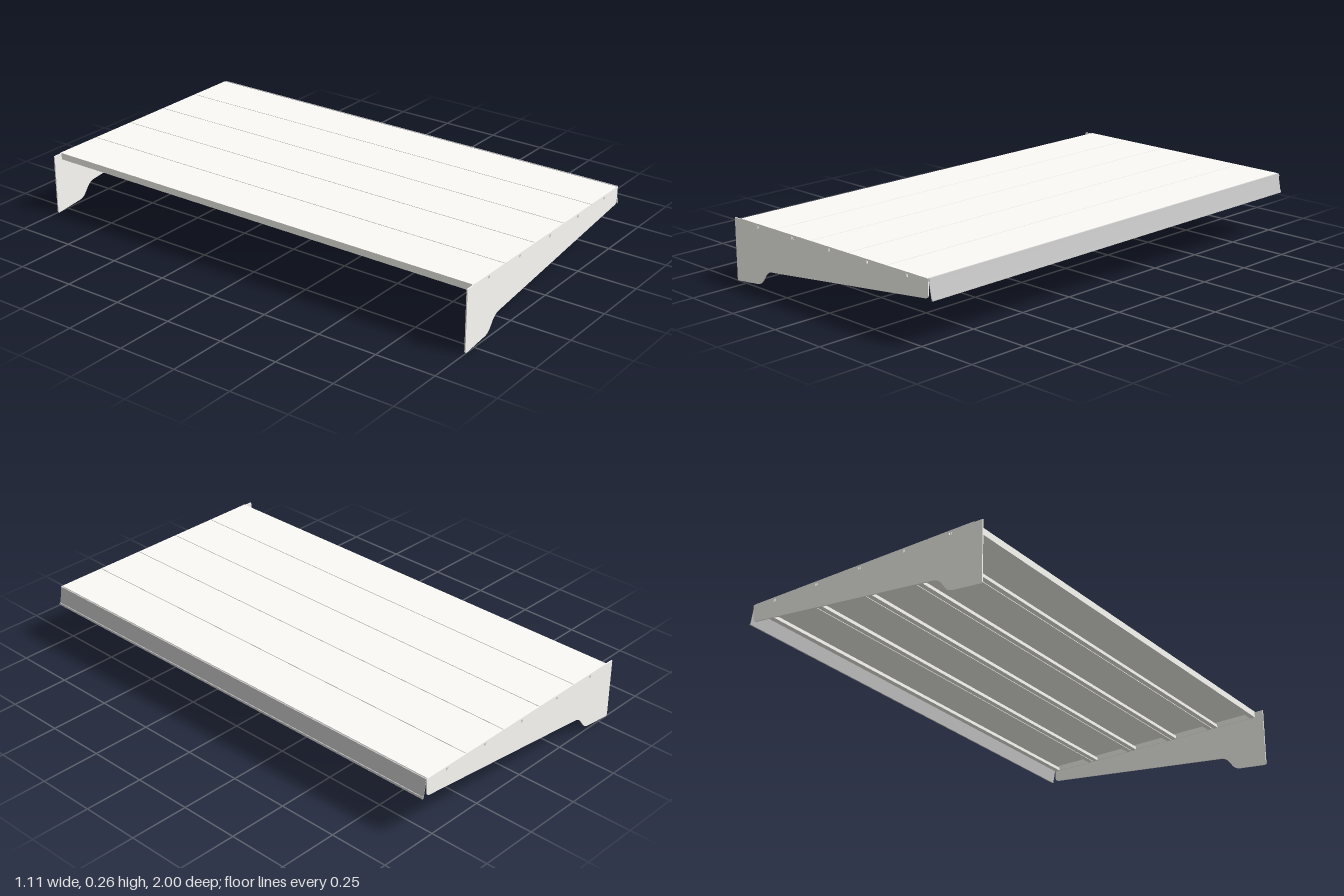
import * as THREE from 'three';

const grey = new THREE.MeshStandardMaterial({ color: 0xcccccc, side: THREE.DoubleSide });
const offWhite = new THREE.MeshStandardMaterial({ color: 0xfcfbf6, side: THREE.DoubleSide });
const TOP = 0.257;      // shelf surface height
const T = 0.004;        // sheet thickness
const PITCH = 0.211;    // panel spacing
const GAP = 0.003;      // seam between panels
const LEFT = -0.52;     // edge of the first panel

// Extrudes a shape along z, centred on the given z
function extrude(name, shape, depth, z, material) {
  const geo = new THREE.ExtrudeGeometry(shape, { depth, bevelEnabled: false, curveSegments: 8 });
  geo.translate(0, 0, z - depth / 2);
  const mesh = new THREE.Mesh(geo, material);
  mesh.name = name;
  return mesh;
}

function box(name, w, h, d, x, y, z) {
  const mesh = new THREE.Mesh(new THREE.BoxGeometry(w, h, d), offWhite);
  mesh.name = name;
  mesh.position.set(x, y, z);
  return mesh;
}

function polygon(points) {
  return new THREE.Shape(points.map(([x, y]) => new THREE.Vector2(x, y)));
}

// Tapered side plate with a deep foot and pairs of slots under the top edge
function bracketShape() {
  const s = new THREE.Shape();
  s.moveTo(-0.557, 0.254);
  s.lineTo(-0.557, 0.009);
  s.quadraticCurveTo(-0.557, 0, -0.548, 0.001);
  s.lineTo(-0.43, 0.014);
  s.quadraticCurveTo(-0.41, 0.016, -0.397, 0.032);
  s.lineTo(-0.38, 0.055);
  s.quadraticCurveTo(-0.364, 0.077, -0.34, 0.08);
  s.lineTo(0.522, 0.182);
  s.quadraticCurveTo(0.536, 0.184, 0.537, 0.198);
  s.lineTo(0.539, TOP - 0.001);
  s.lineTo(-0.517, TOP - 0.001);
  s.lineTo(-0.522, 0.254);
  s.closePath();
  for (let i = 0; i < 5; i++) {
    const cx = LEFT + PITCH * (i + 0.5);
    for (const dx of [-0.0035, 0.0035]) {
      const h = new THREE.Path();
      h.moveTo(cx + dx - 0.0015, 0.239);
      h.lineTo(cx + dx + 0.0015, 0.239);
      h.lineTo(cx + dx + 0.0015, 0.25);
      h.lineTo(cx + dx - 0.0015, 0.25);
      h.closePath();
      s.holes.push(h);
    }
  }
  return s;
}

// Folded panel: flat top, side flanges, inward lips with upturned edges
function panelShape(a, b) {
  const y0 = TOP - 0.028, y1 = y0 + 0.014, lip = 0.022, t = 0.002;
  return polygon([
    [a, TOP], [a, y0], [a + lip, y0], [a + lip, y1], [a + lip - t, y1], [a + lip - t, y0 + t],
    [a + t, y0 + t], [a + t, TOP - T], [b - t, TOP - T], [b - t, y0 + t],
    [b - lip + t, y0 + t], [b - lip + t, y1], [b - lip, y1], [b - lip, y0], [b, y0], [b, TOP],
  ]);
}

export function createModel() {
  const model = new THREE.Group();
  model.name = 'shelf';

  // End brackets
  const bracket = bracketShape();
  for (const side of [1, -1]) {
    model.add(extrude(side > 0 ? 'frontBracket' : 'backBracket', bracket, 0.005, side * 0.9975, offWhite));
  }

  // Five panels with narrow seams
  const panels = new THREE.Group();
  panels.name = 'panels';
  const width = PITCH - GAP;
  for (let i = 0; i < 5; i++) {
    const cx = LEFT + PITCH * (i + 0.5);
    panels.add(extrude('panel', panelShape(cx - width / 2, cx + width / 2), 1.984, 0, offWhite));
    // End flange behind the bracket, and thin edge resting over it
    for (const side of [1, -1]) {
      panels.add(box('panelEndFlange', width, 0.028, 0.002, cx, TOP - 0.014, side * 0.993));
      panels.add(box('panelEdge', width, 0.001, 0.008, cx, TOP - 0.0005, side * 0.996));
    }
  }
  model.add(panels);

  // Tilted edge strip with a small lip along its top and bottom
  model.add(extrude('edgeStrip', polygon([
    [0.537, TOP], [0.542, TOP], [0.544, 0.246], [0.541, 0.246], [0.5525, 0.186],
    [0.5555, 0.186], [0.557, 0.178], [0.552, 0.178],
  ]), 1.996, 0, grey));

  return model;
}
